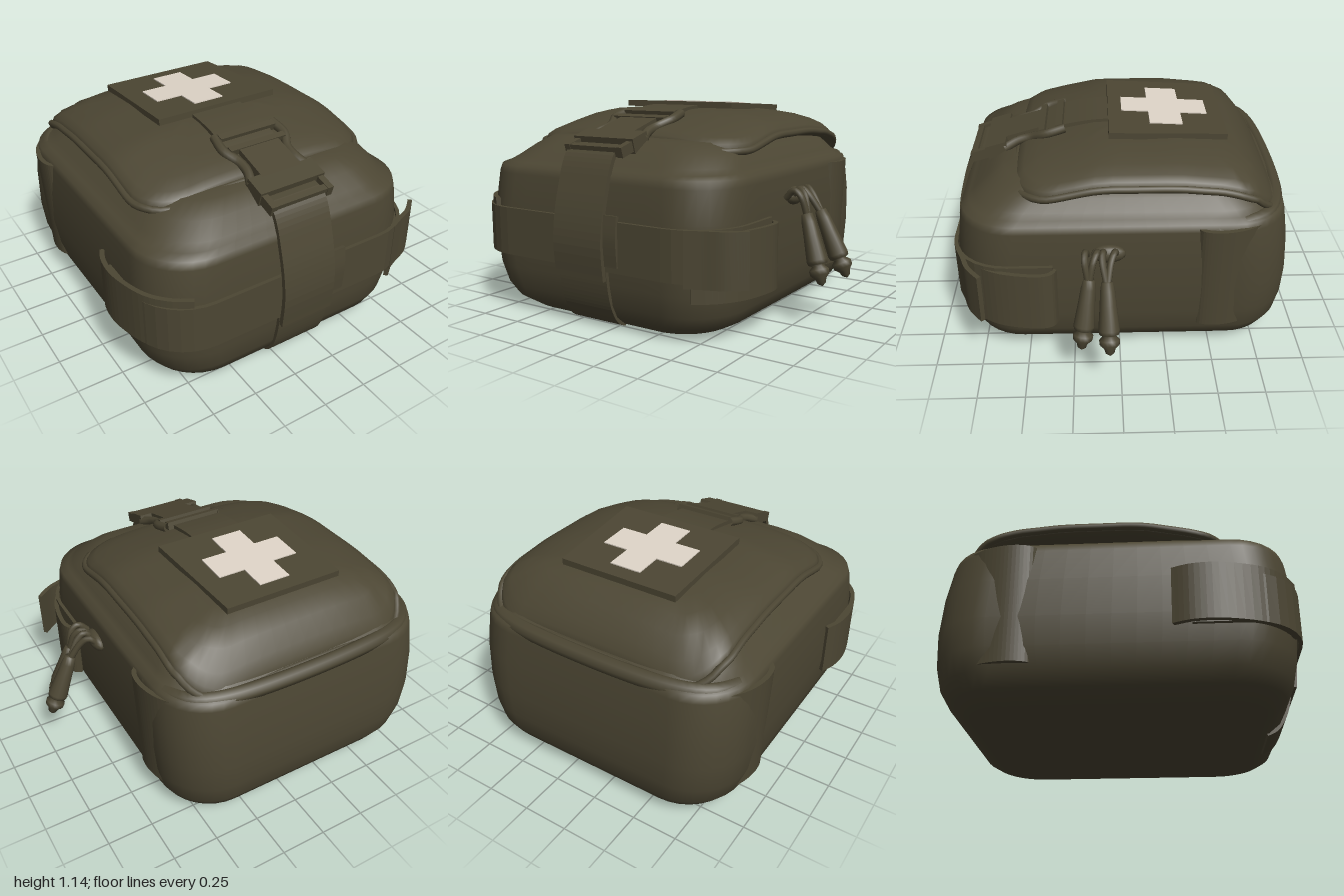
import * as THREE from 'three';

const olive = new THREE.MeshStandardMaterial({ color: 0x4c4633 });
const bone = new THREE.MeshStandardMaterial({ color: 0xdfd5c8 });
olive.name = 'olive canvas';
bone.name = 'bone white';

const V = (x, y, z) => new THREE.Vector3(x, y, z);

function part(name, geometry, parent, material = olive) {
  const m = new THREE.Mesh(geometry, material);
  m.name = name;
  parent.add(m);
  return m;
}

// Rounded rectangle in plan; height may be a number or a function of x and z
function ring(x0, x1, z0, z1, r, height) {
  const pts = [], arc = 8, side = 10;
  const corners = [[x1 - r, z1 - r], [x0 + r, z1 - r], [x0 + r, z0 + r], [x1 - r, z0 + r]];
  const at = (k, a) => [corners[k][0] + r * Math.cos(a), corners[k][1] + r * Math.sin(a)];
  for (let k = 0; k < 4; k++) {
    for (let i = 0; i <= arc; i++) pts.push(at(k, (k + i / arc) * Math.PI / 2));
    const p = pts[pts.length - 1], q = at((k + 1) % 4, (k + 1) * Math.PI / 2);
    for (let i = 1; i < side; i++) {
      const t = i / side;
      pts.push([p[0] + (q[0] - p[0]) * t, p[1] + (q[1] - p[1]) * t]);
    }
  }
  return pts.map(([x, z]) => V(x, typeof height === 'number' ? height : height(x, z), z));
}

// Skin stacked rings from bottom to top and close both ends
function loft(rings) {
  const n = rings[0].length, pos = [], idx = [];
  rings.forEach(r => r.forEach(p => pos.push(p.x, p.y, p.z)));
  for (let i = 0; i < rings.length - 1; i++) for (let j = 0; j < n; j++) {
    const a = i * n + j, b = i * n + (j + 1) % n;
    idx.push(a, a + n, b, b, a + n, b + n);
  }
  [0, rings.length - 1].forEach((i, top) => {
    const c = rings[i].reduce((s, p) => s.add(p), V(0, 0, 0)).divideScalar(n);
    const ci = pos.length / 3;
    pos.push(c.x, c.y, c.z);
    for (let j = 0; j < n; j++) {
      const a = i * n + j, b = i * n + (j + 1) % n;
      if (top) idx.push(ci, b, a); else idx.push(ci, a, b);
    }
  });
  const g = new THREE.BufferGeometry();
  g.setAttribute('position', new THREE.Float32BufferAttribute(pos, 3));
  g.setIndex(idx);
  g.computeVertexNormals();
  return g;
}

// Webbing strip: a thick line in a plane, extruded to its width
function ribbon(points, width, thick, smooth = true) {
  let p = points.map(([x, y]) => new THREE.Vector2(x, y));
  if (smooth) p = new THREE.SplineCurve(p).getPoints(24);
  const offset = s => p.map((q, i) => {
    const d = p[Math.min(i + 1, p.length - 1)].clone().sub(p[Math.max(i - 1, 0)]).normalize();
    return new THREE.Vector2(q.x - d.y * s, q.y + d.x * s);
  });
  const shape = new THREE.Shape([...offset(thick / 2), ...offset(-thick / 2).reverse()]);
  return new THREE.ExtrudeGeometry(shape, { depth: width, bevelEnabled: false });
}
// Path in (x, z), standing from y0 to y1
const planStrap = (pts, y0, y1, t = 0.025, smooth = true) =>
  ribbon(pts.map(([x, z]) => [x, -z]), y1 - y0, t, smooth).rotateX(-Math.PI / 2).translate(0, y0, 0);
// Path in (z, y), spanning x0 to x1
const faceStrap = (pts, x0, x1, t = 0.025) =>
  ribbon(pts.map(([z, y]) => [-z, y]), x1 - x0, t).rotateY(Math.PI / 2).translate(x0, 0, 0);

// Tall side panel whose lower end leans in to follow the body
function backPanel(pts) {
  const g = planStrap(pts, 0.17, 0.79), p = g.attributes.position;
  for (let i = 0; i < p.count; i++) if (p.getY(i) < 0.4) p.setX(i, p.getX(i) - Math.sign(p.getX(i)) * 0.028);
  g.computeVertexNormals();
  return g;
}

const tube = (pts, r, closed = false, seg = 48) =>
  new THREE.TubeGeometry(new THREE.CatmullRomCurve3(pts, closed), seg, r, 8, closed);

// Lid surface: a profile from back to front, falling off to the sides
const lidProfile = [[-0.86, 0.83], [-0.8, 0.91], [-0.7, 1.03], [-0.58, 1.083], [-0.3, 1.11], [0.1, 1.11], [0.3, 1.07], [0.45, 1.035], [0.57, 0.985]];
function lidTop(x, z) {
  let i = 0;
  while (i < lidProfile.length - 2 && z > lidProfile[i + 1][0]) i++;
  const [a, ya] = lidProfile[i], [b, yb] = lidProfile[i + 1];
  return ya + (yb - ya) * (z - a) / (b - a) - 0.095 * Math.pow(Math.abs((x + 0.13) / 0.69), 3.6);
}

export function createModel() {
  const bag = new THREE.Group();
  bag.name = 'pouch';

  // Main body: bottom curve, straight sides, creased shoulder, dome
  part('body', loft([
    [-0.62, 0.4, -0.74, 0.68, 0.22, 0.004], [-0.74, 0.5, -0.8, 0.75, 0.25, 0.02],
    [-0.85, 0.59, -0.87, 0.81, 0.28, 0.07], [-0.9, 0.625, -0.91, 0.845, 0.3, 0.14],
    [-0.93, 0.64, -0.93, 0.865, 0.3, 0.25], [-0.945, 0.65, -0.935, 0.875, 0.3, 0.4],
    [-0.945, 0.655, -0.92, 0.87, 0.3, 0.6], [-0.93, 0.645, -0.895, 0.85, 0.3, 0.77],
    [-0.92, 0.637, -0.885, 0.84, 0.3, 0.81], [-0.88, 0.6, -0.85, 0.805, 0.29, 0.827],
    [-0.835, 0.575, -0.82, 0.775, 0.28, 0.855], [-0.77, 0.53, -0.76, 0.7, 0.27, 0.915],
    [-0.69, 0.45, -0.7, 0.62, 0.25, 0.965], [-0.6, 0.35, -0.55, 0.5, 0.22, 0.98],
  ].map(a => ring(...a))), bag);

  // Lid with piped rim
  const lidRing = (inset, drop) => ring(-0.82 + inset, 0.56 - inset, -0.84 + inset, 0.55 - inset,
    Math.max(0.03, 0.22 - inset * 0.4), (x, z) => lidTop(x, z) - drop);
  part('lid', loft([lidRing(0.06, 0.09), lidRing(0.01, 0.06), lidRing(0, 0.03), lidRing(0.015, 0.008),
    ...[0.05, 0.12, 0.2, 0.3, 0.42, 0.55, 0.65].map(i => lidRing(i, 0))]), bag);
  part('lidPiping', tube(lidRing(0, 0.035), 0.02, true, 140), bag);

  // Padded lip along the top of the back panel
  part('backLip', tube([V(-0.885, 0.77, -0.5), V(-0.86, 0.785, -0.65), V(-0.79, 0.795, -0.77), V(-0.6, 0.8, -0.845),
    V(0.32, 0.8, -0.845), V(0.51, 0.795, -0.77), V(0.58, 0.785, -0.65), V(0.605, 0.77, -0.5)], 0.045), bag);

  // Webbing band wrapped round the front
  const band = ring(-0.957, 0.667, -0.9, 0.887, 0.3, 0).filter(p => p.z > 0.25)
    .sort((a, b) => Math.atan2(a.z, a.x + 0.145) - Math.atan2(b.z, b.x + 0.145)).map(p => [p.x, p.z]);
  part('frontBand', planStrap(band, 0.33, 0.59, 0.02, false), bag);

  // Side straps
  part('rightFrontLoop', planStrap([[-0.95, 0.26], [-0.985, 0.36], [-0.988, 0.5], [-0.94, 0.68], [-0.86, 0.79], [-0.76, 0.86]], 0.33, 0.63), bag);
  part('leftFrontLoop', planStrap([[0.66, 0.34], [0.705, 0.37], [0.715, 0.46], [0.68, 0.63], [0.6, 0.76], [0.5, 0.84]], 0.23, 0.57), bag);
  part('looseTab', planStrap([[0.48, 0.865], [0.56, 0.83], [0.66, 0.79], [0.75, 0.72]], 0.31, 0.59), bag);
  part('rightBackPanel', backPanel([[-0.89, -0.4], [-0.94, -0.44], [-0.952, -0.54], [-0.92, -0.66], [-0.84, -0.78]]), bag);
  part('leftBackPanel', backPanel([[0.61, -0.4], [0.658, -0.44], [0.668, -0.54], [0.635, -0.66], [0.55, -0.78]]), bag);

  // Closing strap: lid piece, hanging front piece, piece under it, side tab
  part('lidStrap', faceStrap([[0, 1.115], [0.15, 1.105], [0.3, 1.078], [0.4, 1.045]], -0.28, 0.025), bag);
  part('frontStrap', faceStrap([[0.68, 0.945], [0.78, 0.925], [0.83, 0.86], [0.87, 0.74], [0.905, 0.6], [0.92, 0.45], [0.905, 0.28]], -0.285, 0.03), bag);
  part('lowerStrap', faceStrap([[0.885, 0.45], [0.88, 0.28], [0.85, 0.14], [0.8, 0.05], [0.74, 0.015]], -0.285, 0.03, 0.02), bag);
  part('strapTab', faceStrap([[0.895, 0.62], [0.905, 0.5], [0.895, 0.36]], -0.05, 0.11, 0.02), bag);

  // Side release buckle
  const buckle = new THREE.Group();
  buckle.name = 'buckle';
  buckle.position.set(-0.11, 1.0, 0.53);
  buckle.rotation.x = 0.28;
  bag.add(buckle);
  const block = (name, w, h, d, x, y, z) => part(name, new THREE.BoxGeometry(w, h, d).translate(x, y, z), buckle);
  block('buckleTopBar', 0.34, 0.05, 0.04, 0, 0.02, -0.23);
  block('buckleInnerBar', 0.34, 0.05, 0.035, 0, 0.02, -0.13);
  block('buckleCentre', 0.24, 0.06, 0.22, 0, 0.01, -0.01);
  block('buckleSocket', 0.39, 0.08, 0.12, 0, 0, 0.14);
  block('buckleLowerBar', 0.36, 0.05, 0.035, 0, 0, 0.27);
  for (const s of [-1, 1]) {
    part('buckleProng', tube([V(s * 0.18, 0.02, -0.26), V(s * 0.19, 0.02, -0.15), V(s * 0.15, 0.01, -0.06), V(s * 0.15, 0.01, 0.02), V(s * 0.18, 0, 0.1)], 0.026, false, 20), buckle);
    block('buckleFrame', 0.035, 0.055, 0.12, s * 0.17, 0, 0.23);
  }

  // Patch with a cross on the lid
  const patch = new THREE.Group();
  patch.name = 'patch';
  patch.position.set(0, 1.108, -0.27);
  patch.rotation.x = -0.055;
  bag.add(patch);
  const plate = (pts, depth, y) => new THREE.ExtrudeGeometry(
    new THREE.Shape(pts.map(([x, z]) => new THREE.Vector2(x, -z))), { depth, bevelEnabled: false }).rotateX(-Math.PI / 2).translate(0, y, 0);
  part('patchCloth', plate([[-0.48, 0.32], [0.25, 0.32], [0.205, -0.32], [-0.48, -0.32]], 0.035, -0.015), patch);
  const a = 0.09, b = 0.24;
  part('patchCross', plate([[-a, b], [a, b], [a, a], [b, a], [b, -a], [a, -a], [a, -b], [-a, -b], [-a, -a], [-b, -a], [-b, a], [-a, a]], 0.006, 0.02)
    .translate(-0.13, 0, 0.005), patch, bone);

  // Zip sliders, cords and toggles on the left side
  const profile = [[0, 0], [0.03, 0.005], [0.038, 0.05], [0.043, 0.12], [0.055, 0.25], [0.051, 0.27], [0.033, 0.28],
    [0.053, 0.3], [0.051, 0.325], [0.03, 0.345], [0.022, 0.37], [0, 0.385]].map(([r, y]) => new THREE.Vector2(r, -y)).reverse();
  part('zipSlider', new THREE.SphereGeometry(0.07, 14, 10).scale(0.6, 0.7, 1.3).translate(0.655, 0.66, 0.06), bag);
  for (const [top, tip] of [[V(0.81, 0.6, 0.07), V(0.97, 0.25, 0.06)], [V(0.775, 0.59, 0.16), V(0.89, 0.24, 0.205)]]) {
    const dir = top.clone().sub(tip).normalize();
    const toggle = part('zipToggle', new THREE.LatheGeometry(profile, 14), bag);
    toggle.position.copy(top);
    toggle.quaternion.setFromUnitVectors(V(0, 1, 0), dir);
    for (const s of [-1, 1]) part('zipCord', tube([V(0.66, 0.66, top.z - 0.02 + s * 0.03), V(0.71, 0.705, top.z - 0.01 + s * 0.03),
      V(0.75, 0.68, top.z + s * 0.022), top.clone().addScaledVector(dir, -0.03)], 0.018, false, 16), bag);
  }
  return bag;
}
